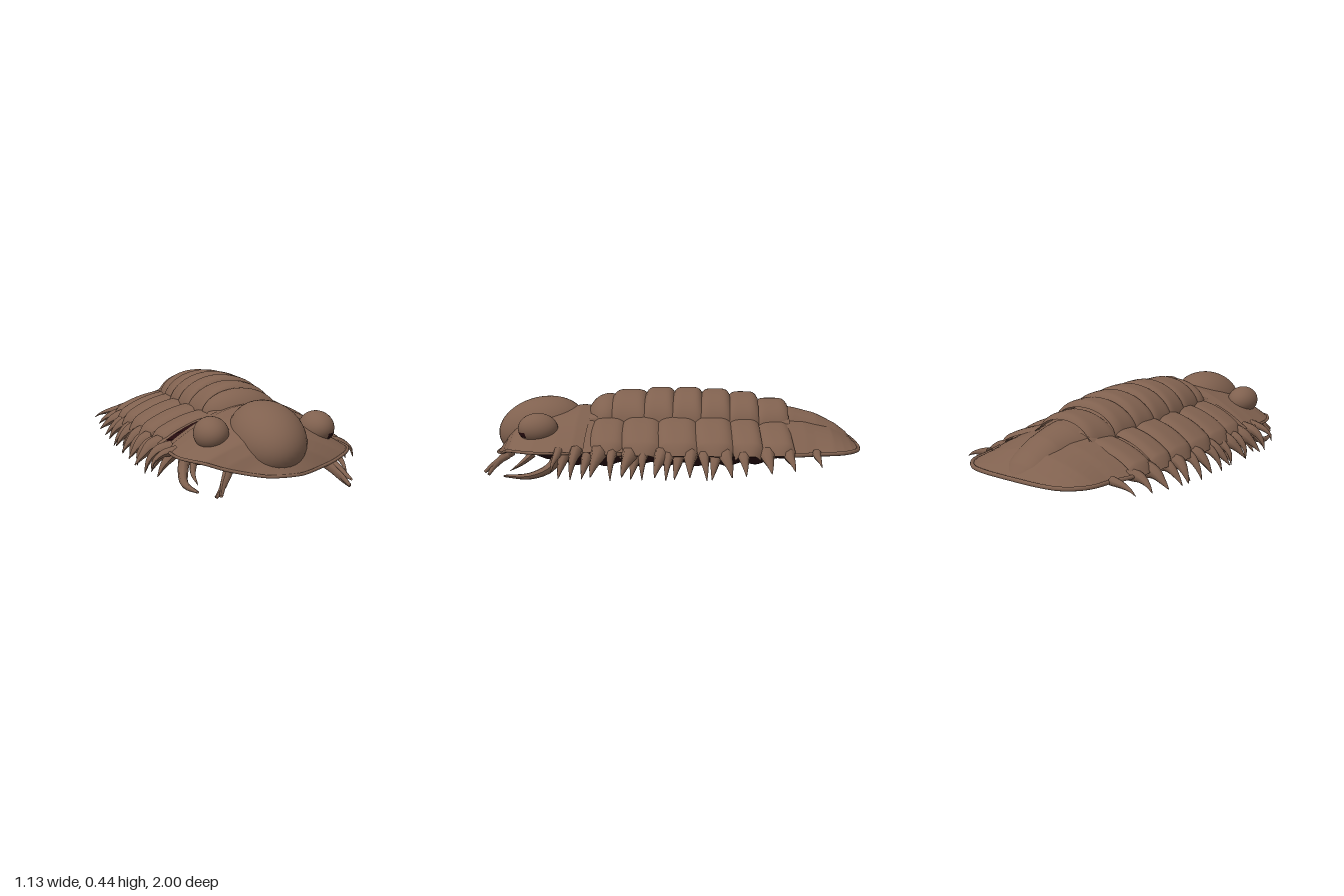
import * as THREE from 'three';
import { ParametricGeometry } from 'three/addons/geometries/ParametricGeometry.js';

const lerp = THREE.MathUtils.lerp;

// Linear interpolation through [z, value] keys, listed from front to back
function keyed(keys, z) {
  if (z >= keys[0][0]) return keys[0][1];
  for (let i = 1; i < keys.length; i++) {
    const [z0, a] = keys[i - 1], [z1, b] = keys[i];
    if (z >= z1) return lerp(a, b, (z0 - z) / (z0 - z1));
  }
  return keys[keys.length - 1][1];
}

// Half width of the body plan
const OUTLINE = [[0.985, 0.01], [0.975, 0.07], [0.955, 0.13], [0.925, 0.2], [0.9, 0.27], [0.86, 0.345],
  [0.8, 0.395], [0.72, 0.43], [0.6, 0.44], [0.5, 0.43], [0.43, 0.4], [0.38, 0.45], [0.2, 0.47], [-0.4, 0.47],
  [-0.6, 0.445], [-0.68, 0.425], [-0.75, 0.4], [-0.83, 0.388], [-0.89, 0.362], [-0.94, 0.315], [-0.968, 0.265],
  [-0.982, 0.2], [-0.988, 0.13]];
const halfWidth = z => keyed(OUTLINE, z);

// Height of the body's lower edge
const rimHeight = z => z > 0.4 ? 0.085 + 0.06 * Math.min(1, (halfWidth(z) / 0.36) ** 2) : 0.145;

export function createModel() {
  const group = new THREE.Group();
  const shell = new THREE.MeshStandardMaterial({ color: 0x80614f, side: THREE.DoubleSide });
  shell.name = 'brown shell';
  const dark = new THREE.MeshStandardMaterial({ color: 0x260b0e, side: THREE.DoubleSide });
  dark.name = 'dark underside';

  const add = (name, geometry, material = shell) => {
    const mesh = new THREE.Mesh(geometry, material);
    mesh.name = name;
    group.add(mesh);
    return mesh;
  };
  const sheet = (name, fn, nu, nv, material) =>
    add(name, new ParametricGeometry((u, v, p) => p.set(...fn(u, v)), nu, nv), material);
  // Ellipsoid whose lower part is flattened onto the body's edge level
  const mound = (name, pos, radii, tilt = 0) => {
    const geo = new THREE.SphereGeometry(1, 36, 28);
    geo.scale(...radii).rotateX(tilt).translate(...pos);
    const p = geo.attributes.position;
    for (let k = 0; k < p.count; k++) p.setY(k, Math.max(p.getY(k), rimHeight(p.getZ(k))));
    add(name, geo);
  };
  const path = pts => new THREE.CatmullRomCurve3(pts.map(p => new THREE.Vector3(...p)));

  // Tapered limb, narrow at its far end
  const limb = (name, pts, radius, taper = 0.95) => {
    const curve = path(pts), steps = 10, sides = 7;
    const geo = new THREE.TubeGeometry(curve, steps, radius, sides);
    const pos = geo.attributes.position, v = new THREE.Vector3();
    for (let k = 0; k < pos.count; k++) {
      const t = Math.floor(k / (sides + 1)) / steps;
      v.fromBufferAttribute(pos, k).lerp(curve.getPointAt(t), taper * t ** 1.3);
      pos.setXYZ(k, v.x, v.y, v.z);
    }
    geo.computeVertexNormals();
    add(name, geo);
  };

  // Rounded lip that follows the outline between two z values
  const lip = (name, zs, radius) => {
    const side = s => zs.map(z => [s * halfWidth(z), rimHeight(z), z]);
    add(name, new THREE.TubeGeometry(path([...side(1), ...side(-1).reverse()]), 90, radius, 8));
  };

  // Head shield
  const cheek = [[0.985, 0], [0.9, 0.09], [0.8, 0.14], [0.65, 0.18], [0.5, 0.2], [0.42, 0.19]];
  sheet('headShield', (u, v) => {
    const z = lerp(0.985, 0.42, v ** 1.6), t = 2 * u - 1;
    return [t * halfWidth(z), rimHeight(z) + keyed(cheek, z) * (1 - Math.abs(t) ** 1.7), z];
  }, 40, 44);
  lip('headRim', [0.43, 0.5, 0.6, 0.72, 0.8, 0.86, 0.9, 0.925, 0.955, 0.975], 0.008);
  mound('headDome', [0, 0.22, 0.74], [0.18, 0.165, 0.245], 0.25);
  mound('headDomeRear', [0, 0.21, 0.65], [0.172, 0.17, 0.12]);
  mound('headSaddle', [0, 0.19, 0.5], [0.27, 0.13, 0.15]);
  mound('neckRing', [0, 0.27, 0.36], [0.205, 0.137, 0.12]);
  for (const s of [-1, 1]) mound('eye', [s * 0.27, 0.25, 0.71], [0.083, 0.08, 0.105]);
  const patch = add('eyePatch', new THREE.SphereGeometry(1.015, 8, 5, 1.8, 0.75, 1.78, 0.36), dark);
  patch.position.set(0.27, 0.25, 0.71);
  patch.scale.set(0.083, 0.08, 0.105);

  // Continuous body beneath the rings and side plates
  const coreTop = [[0.45, 0.32], [0.3, 0.385], [0.15, 0.41], [-0.3, 0.395], [-0.45, 0.365], [-0.62, 0.32]];
  const coreSide = [[0.3, 0.275], [-0.3, 0.275], [-0.62, 0.245]];
  sheet('bodyCore', (u, v) => {
    const z = lerp(0.45, -0.62, v), x = (2 * u - 1) * 0.45, a = Math.abs(x), side = keyed(coreSide, z);
    const y = a < 0.2 ? lerp(side, keyed(coreTop, z), Math.sqrt(1 - (a / 0.2) ** 2))
      : lerp(side, 0.155, ((a - 0.2) / 0.25) ** 1.5);
    return [x, y, z];
  }, 54, 24);

  // Arched rings along the back: front z, back z, top, base
  const axisWidth = [[0.33, 0.2], [0.15, 0.225], [0, 0.238], [-0.2, 0.238], [-0.42, 0.22], [-0.61, 0.183]];
  const rings = [[0.33, 0.15, 0.43, 0.26], [0.15, 0, 0.443, 0.26], [0, -0.15, 0.443, 0.26],
    [-0.15, -0.3, 0.435, 0.26], [-0.3, -0.45, 0.42, 0.255], [-0.45, -0.61, 0.385, 0.235]];
  for (const [z0, z1, top, base] of rings) {
    sheet('backRing', (u, v) => {
      const a = Math.PI * (1 - u), e = Math.abs(2 * v - 1) ** 5, z = lerp(z0 + 0.006, z1 - 0.006, v);
      return [Math.cos(a) * keyed(axisWidth, z) * (1.02 - 0.05 * e), base + (top - base) * Math.sin(a) * (1 - 0.2 * e), z];
    }, 28, 14);
  }

  // Side plates: front z, back z, inner x, outer x, inner height
  const plates = [[0.42, 0.255, 0.17, 0.465, 0.285], [0.255, 0.07, 0.19, 0.485, 0.292], [0.07, -0.12, 0.2, 0.49, 0.295],
    [-0.12, -0.3, 0.2, 0.49, 0.295], [-0.3, -0.45, 0.19, 0.485, 0.285], [-0.45, -0.61, 0.16, 0.47, 0.268]];
  for (const [z0, z1, x0, x1, top] of plates) {
    const mid = (z0 + z1) / 2, half = (z0 - z1) * 0.53;
    for (const s of [-1, 1]) {
      sheet('sidePlate', (u, v) => {
        const t = s > 0 ? u : 1 - u, w = 2 * v - 1;
        const taper = 1 - 0.2 * (Math.max(0, t - 0.85) / 0.15) ** 2;
        const end = 0.035 * (Math.max(0, t - 0.85) / 0.15) ** 2;
        const y = lerp(top, 0.165, 0.25 * t + 0.75 * t * t) + 0.015 - 0.026 * Math.abs(w) ** 4 - end;
        return [s * (lerp(x0, x1, t) - 0.025 * t ** 4 * w * w), y, mid - 0.015 * t * t - w * taper * half];
      }, 20, 14);
    }
  }

  // Tail shield with its tapering central ridge
  const flank = [[-0.57, 0.15], [-0.7, 0.135], [-0.85, 0.095], [-0.94, 0.045], [-0.988, 0.005]];
  sheet('tailShield', (u, v) => {
    const z = lerp(-0.57, -0.988, 1 - (1 - v) ** 1.6), t = 2 * u - 1;
    return [t * halfWidth(z), rimHeight(z) + keyed(flank, z) * (1 - Math.abs(t) ** 2.2), z];
  }, 36, 36);
  lip('tailRim', [-0.6, -0.68, -0.75, -0.83, -0.89, -0.94, -0.968, -0.982, -0.988], 0.011);
  const ridgeWidth = [[-0.58, 0.185], [-0.66, 0.165], [-0.75, 0.145], [-0.85, 0.125], [-0.92, 0.1], [-0.96, 0.06], [-0.98, 0.01]];
  const ridgeTop = [[-0.58, 0.345], [-0.65, 0.335], [-0.77, 0.305], [-0.88, 0.25], [-0.94, 0.205], [-0.98, 0.155]];
  sheet('tailRidge', (u, v) => {
    const z = lerp(-0.58, -0.98, 1 - (1 - v) ** 1.5), a = Math.PI * (1 - u), base = 0.15;
    return [Math.cos(a) * keyed(ridgeWidth, z), base + (keyed(ridgeTop, z) - base) * Math.sin(a) ** 0.8, z];
  }, 24, 24);

  // Underside with two rippled lobes
  const lobe = [[0.8, 0], [0.6, 0.8], [0.45, 1], [-0.4, 0.9], [-0.75, 0]];
  sheet('underside', (u, v) => {
    const z = lerp(0.975, -0.985, v), x = (1 - 2 * u) * halfWidth(z) * 0.98;
    const bump = Math.exp(-(((Math.abs(x) - 0.23) / 0.13) ** 4));
    const ripple = 0.012 * Math.cos((z - 0.35) * Math.PI * 2 / 0.16);
    return [x, rimHeight(z) - 0.008 - keyed(lobe, z) * bump * (0.078 + ripple), z];
  }, 48, 130, dark);

  // Outer legs: root z, tip z, tip x, tip y, radius
  const legs = [[0.58, 0.6, 0.53, 0.06, 0.026], [0.49, 0.5, 0.54, 0.03, 0.034], [0.37, 0.395, 0.565, 0.05, 0.048],
    [0.3, 0.3, 0.53, 0.025, 0.032], [0.21, 0.24, 0.56, 0.05, 0.048], [0.14, 0.14, 0.53, 0.03, 0.032],
    [0.05, 0.075, 0.56, 0.05, 0.046], [0.01, 0.02, 0.545, 0.03, 0.034], [-0.1, -0.1, 0.555, 0.05, 0.046],
    [-0.17, -0.185, 0.55, 0.035, 0.036], [-0.28, -0.31, 0.55, 0.05, 0.046], [-0.37, -0.38, 0.56, 0.06, 0.04],
    [-0.49, -0.505, 0.565, 0.075, 0.046], [-0.6, -0.62, 0.55, 0.085, 0.036], [-0.74, -0.75, 0.55, 0.105, 0.024]];
  for (const s of [-1, 1]) {
    for (const [z0, z1, x, y, r] of legs) {
      limb('leg', [[s * 0.4, 0.15, z0], [s * 0.47, 0.138, z0], [s * 0.52, lerp(0.138, y, 0.45), lerp(z0, z1, 0.6)], [s * x, y, z1]], r);
    }
    // Short hanging legs closer to the middle
    for (const z of [0.55, 0.43, 0.18, -0.04, -0.23]) {
      limb('innerLeg', [[s * 0.41, 0.13, z], [s * 0.46, 0.08, z + 0.01], [s * 0.495, 0.025, z + 0.02]], 0.03);
    }
    // Forked feelers under the head and the curved front legs
    limb('feeler', [[s * 0.23, 0.12, 0.86], [s * 0.265, 0.085, 0.91], [s * 0.3, 0.04, 0.95], [s * 0.33, 0.01, 0.965]], 0.026, 0.7);
    limb('feelerFork', [[s * 0.25, 0.1, 0.88], [s * 0.29, 0.06, 0.945], [s * 0.315, 0.02, 0.99]], 0.02, 0.6);
    limb('frontLeg', [[s * 0.36, 0.13, 0.58], [s * 0.385, 0.06, 0.63], [s * 0.405, 0.02, 0.73], [s * 0.385, 0.015, 0.87]], 0.03, 0.8);
    limb('frontLegSpur', [[s * 0.36, 0.13, 0.72], [s * 0.38, 0.08, 0.78], [s * 0.375, 0.04, 0.84]], 0.02);
  }
  return group;
}
